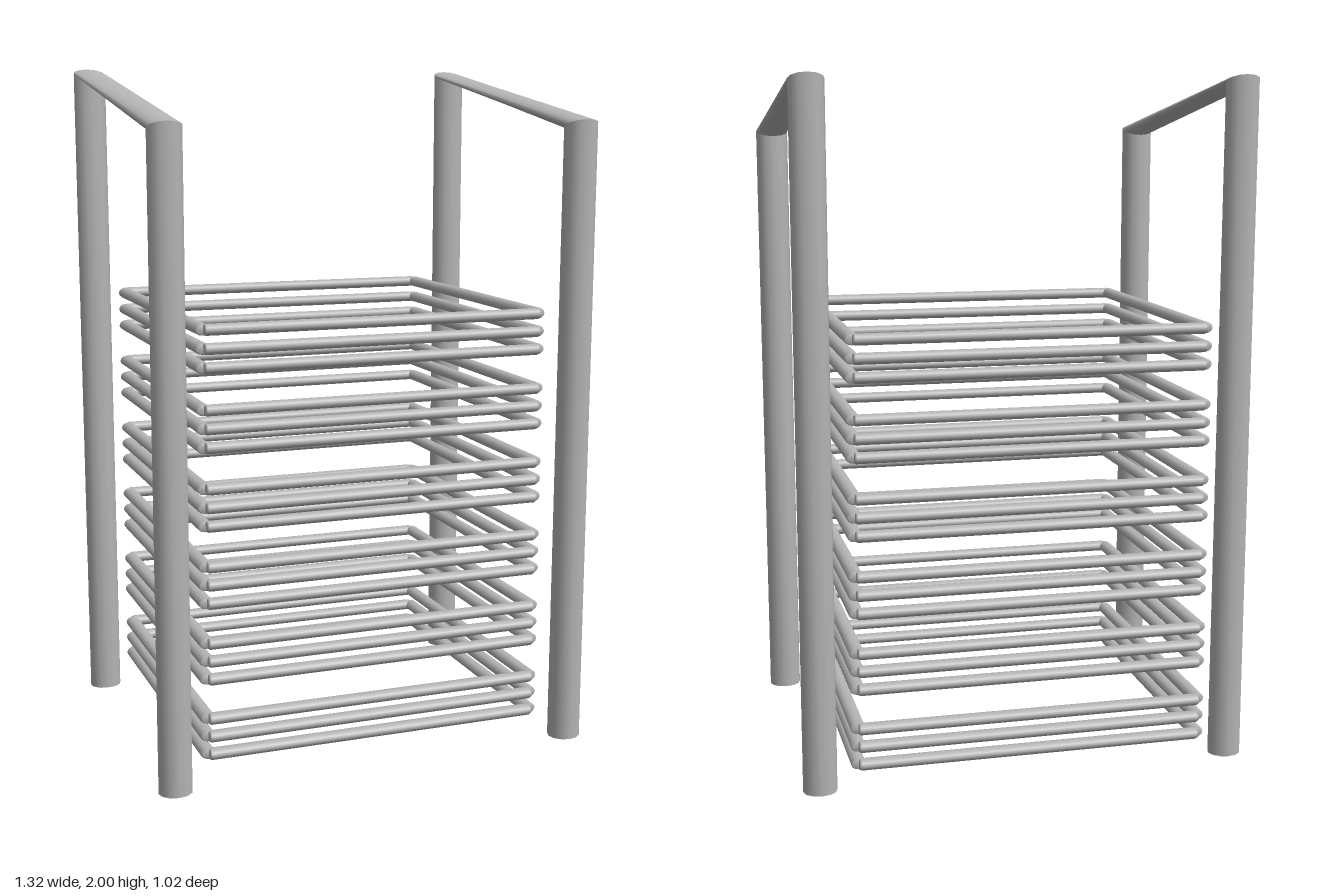
import * as THREE from 'three';

const SIDES = 12;

// Tube segment between two mitred elliptical sections, each given as outer and inner [z, y]
function segment(a, b, halfWidth) {
  const pos = [], idx = [];
  for (const [[oz, oy], [iz, iy]] of [a, b]) {
    for (let i = 0; i <= SIDES; i++) {
      const t = (i / SIDES) * Math.PI * 2, c = Math.cos(t) / 2;
      pos.push(halfWidth * Math.sin(t), (oy + iy) / 2 + c * (oy - iy), (oz + iz) / 2 + c * (oz - iz));
    }
  }
  for (let i = 0; i < SIDES; i++) {
    const p = i, q = i + 1, r = p + SIDES + 1, s = q + SIDES + 1;
    idx.push(p, q, r, q, s, r);
  }
  const g = new THREE.BufferGeometry();
  g.setAttribute('position', new THREE.Float32BufferAttribute(pos, 3));
  g.setIndex(idx);
  g.computeVertexNormals();
  // share the normal across the seam
  const n = g.attributes.normal, v = new THREE.Vector3(), w = new THREE.Vector3();
  for (const k of [0, SIDES + 1]) {
    v.fromBufferAttribute(n, k).add(w.fromBufferAttribute(n, k + SIDES)).normalize();
    n.setXYZ(k, v.x, v.y, v.z);
    n.setXYZ(k + SIDES, v.x, v.y, v.z);
  }
  return g;
}

export function createModel() {
  const model = new THREE.Group();
  model.name = 'railedRack';
  const metal = new THREE.MeshStandardMaterial({ color: 0xb4b4b4, side: THREE.DoubleSide });
  metal.name = 'greyMetal';

  const add = (parent, name, geometry, x = 0, y = 0, z = 0) => {
    const m = new THREE.Mesh(geometry, metal);
    m.name = name;
    m.position.set(x, y, z);
    parent.add(m);
    return m;
  };

  // Side frames: front post, sloping handrail, back post
  const sections = [
    [[0.505, 0], [0.415, 0]],
    [[0.508, 1.852], [0.42, 1.822]],
    [[-0.49, 2.0], [-0.415, 1.968]],
    [[-0.488, 0], [-0.402, 0]],
  ];
  const names = ['frontPost', 'handrail', 'backPost'];
  for (const side of [-1, 1]) {
    const frame = new THREE.Group();
    frame.name = side > 0 ? 'leftFrame' : 'rightFrame';
    frame.position.x = side * 0.61;
    names.forEach((name, i) => add(frame, name, segment(sections[i], sections[i + 1], 0.049)));
    // closed feet
    for (const z of [0.46, -0.445]) {
      const foot = add(frame, 'foot', new THREE.CircleGeometry(1, SIDES), 0, 0.001, z);
      foot.rotation.x = Math.PI / 2;
      foot.scale.set(0.049, 0.044, 1);
    }
    model.add(frame);
  }

  // Flattened rails with slightly chamfered ends
  const railGeometry = (length, alongX) => {
    const h = length / 2;
    const profile = [[0, -h], [0.8, -h], [1, -h + 0.006], [1, h - 0.006], [0.8, h], [0, h]];
    const g = new THREE.CylinderGeometry(1, 1, length - 0.012, SIDES, 1, true);
    const caps = new THREE.LatheGeometry(profile.map(([r, y]) => new THREE.Vector2(r, y)), SIDES);
    g.dispose();
    caps.rotateX(Math.PI / 2);
    caps.scale(0.0215, 0.0165, 1);
    if (alongX) caps.rotateY(Math.PI / 2);
    return caps;
  };
  const crossRail = railGeometry(1.01, true);
  const sideRail = railGeometry(0.924, false);

  // Six tiers of three square rail rings
  for (let tier = 0; tier < 6; tier++) {
    const group = new THREE.Group();
    group.name = 'railTier' + (tier + 1);
    for (let row = 0; row < 3; row++) {
      const y = 0.086 + tier * 0.221 + row * 0.0525;
      add(group, 'frontRail', crossRail, 0, y, 0.435);
      add(group, 'backRail', crossRail, 0, y, -0.49);
      add(group, 'leftRail', sideRail, 0.505, y, -0.027);
      add(group, 'rightRail', sideRail, -0.505, y, -0.027);
    }
    model.add(group);
  }
  return model;
}
